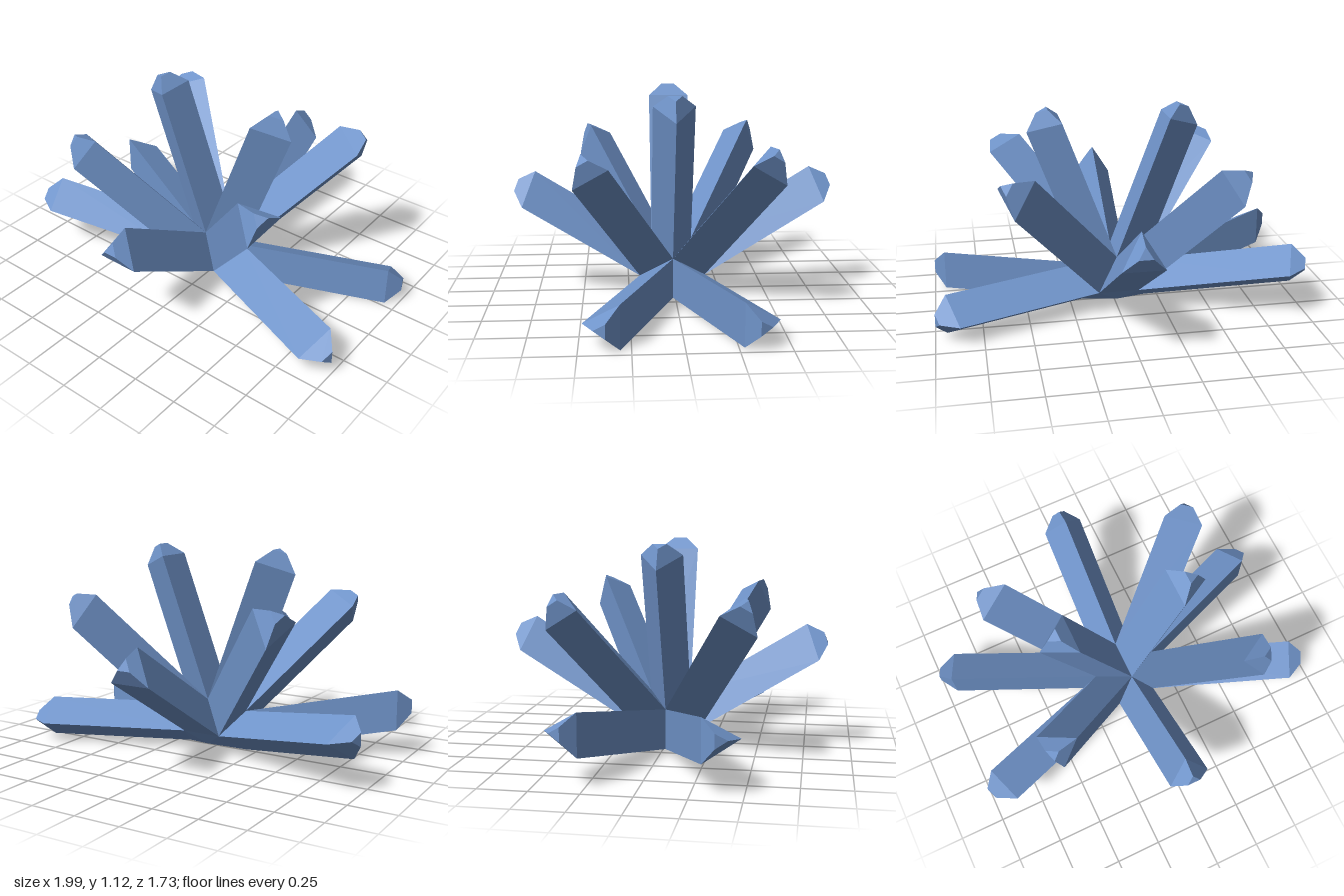
import * as THREE from 'three';

// Icosahedral core: half edge and golden-ratio reach
const A = 0.11, R = 0.178;
const CENTRE = new THREE.Vector3(0, 0.11, 0.013);
const TIP_SCALE = 0.33, TIP_RISE = 0.097;

const v = (x, y, z) => new THREE.Vector3(x, y, z);

// Order a triangle so that it faces away from the core's centre
function outward([a, b, c]) {
  const n = b.clone().sub(a).cross(c.clone().sub(a));
  return n.dot(a.clone().add(b).add(c)) < 0 ? [a, c, b] : [a, b, c];
}

function meshFrom(points, name, material) {
  const geometry = new THREE.BufferGeometry().setFromPoints(points.map(p => p.clone().add(CENTRE)));
  geometry.computeVertexNormals();
  const mesh = new THREE.Mesh(geometry, material);
  mesh.name = name;
  return mesh;
}

// Slanted three-sided crystal on one face of the core, with a truncated tip
function crystal(face, offset, name, material) {
  const base = outward(face);
  const end = base.map(p => p.clone().add(offset));
  const mid = v(0, 0, 0).add(end[0]).add(end[1]).add(end[2]).divideScalar(3);
  const tip = end.map(p => p.clone().lerp(mid, 1 - TIP_SCALE).addScaledVector(offset, TIP_RISE));
  const points = [];
  for (const [low, high] of [[base, end], [end, tip]]) {
    for (let i = 0; i < 3; i++) {
      const j = (i + 1) % 3;
      points.push(low[i], low[j], high[j], low[i], high[j], high[i]);
    }
  }
  points.push(...tip);
  return meshFrom(points, name, material);
}

export function createModel() {
  const group = new THREE.Group();
  group.name = 'crystalCluster';
  const blue = new THREE.MeshStandardMaterial({ color: 0x7094ca, flatShading: true });
  blue.name = 'crystalBlue';

  // Corners of the core; its lower edge is pushed up to flatten the underside
  const top = z => v(0, R, z * A);
  const bottom = z => v(0, -0.075, z * A);
  const end = (x, z) => v(x * A, 0, z * R);
  const side = (x, y) => v(x * R, y * A, 0);

  const under = [];
  for (const s of [1, -1]) {
    const front = s > 0;
    const word = front ? 'front' : 'back';
    const flank = s > 0 ? 'left' : 'right';

    // Tall crystals leaning to each side
    group.add(crystal([top(1), top(-1), side(s, 1)], v(s * 0.288, 0.768, 0), flank + 'TallCrystal', blue));

    // Crystals pointing forward and backward
    group.add(crystal([top(s), end(1, s), end(-1, s)],
      front ? v(0, 0.388, 0.63) : v(0, 0.4, -0.65), word + 'Crystal', blue));

    under.push([bottom(s), end(1, s), end(-1, s)], [bottom(1), bottom(-1), side(s, -1)]);

    for (const x of [1, -1]) {
      const label = word + (x > 0 ? 'Left' : 'Right');
      // Diagonal crystals
      group.add(crystal([top(s), side(x, 1), end(x, s)],
        front ? v(x * 0.47, 0.573, 0.337) : v(x * 0.47, 0.585, -0.36), label + 'DiagonalCrystal', blue));
      // Low crystals: level on one side, raised on the other
      group.add(crystal([side(x, 1), side(x, -1), end(x, s)],
        v(x * 0.76, x > 0 ? 0 : 0.15, s * 0.29), label + 'LowCrystal', blue));
      under.push([bottom(s), side(x, -1), end(x, s)]);
    }
  }

  // Exposed underside of the core
  group.add(meshFrom(under.flatMap(outward), 'coreUnderside', blue));
  return group;
}
